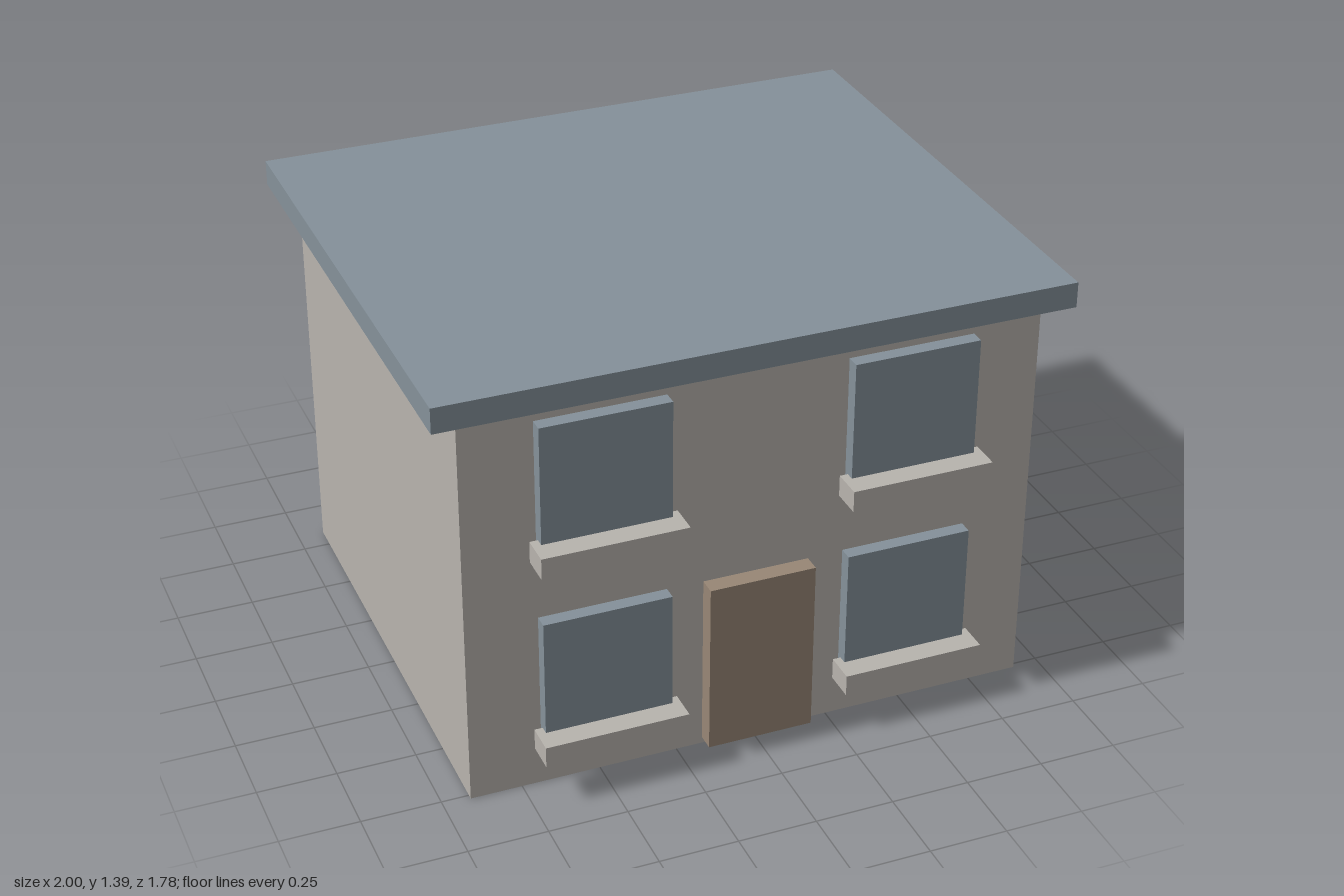
import * as THREE from 'three';

export function createModel() {
  const house = new THREE.Group();
  house.name = 'house';

  const material = (name, color) => {
    const m = new THREE.MeshStandardMaterial({ color });
    m.name = name;
    return m;
  };
  const stone = material('stone', 0xb8b4ae);
  const slate = material('slate', 0x85919a);
  const wood = material('wood', 0x988776);

  // Box given by its lower and upper limits on each axis
  const box = (name, mat, [x0, x1], [y0, y1], [z0, z1], parent = house) => {
    const mesh = new THREE.Mesh(new THREE.BoxGeometry(x1 - x0, y1 - y0, z1 - z0), mat);
    mesh.position.set((x0 + x1) / 2, (y0 + y1) / 2, (z0 + z1) / 2);
    mesh.name = name;
    parent.add(mesh);
  };

  // Main body, overhanging flat roof and door
  box('walls', stone, [-0.913, 0.913], [0, 1.31], [-0.83, 0.767]);
  box('roof', slate, [-1, 1], [1.31, 1.392], [-0.89, 0.823]);
  box('door', wood, [-0.17, 0.17], [0.03, 0.6], [0.778, 0.835]);

  // Two storeys of windows, each with a projecting sill
  for (const [storey, y] of [['lower', 0.2], ['upper', 0.86]]) {
    for (const [side, x] of [['Right', -0.487], ['Left', 0.487]]) {
      const unit = new THREE.Group();
      unit.name = `${storey}${side}Window`;
      unit.position.set(x, y, 0);
      box('pane', slate, [-0.202, 0.202], [0, 0.4], [0.775, 0.82], unit);
      box('sill', stone, [-0.228, 0.228], [-0.052, 0.017], [0.792, 0.892], unit);
      house.add(unit);
    }
  }
  return house;
}
